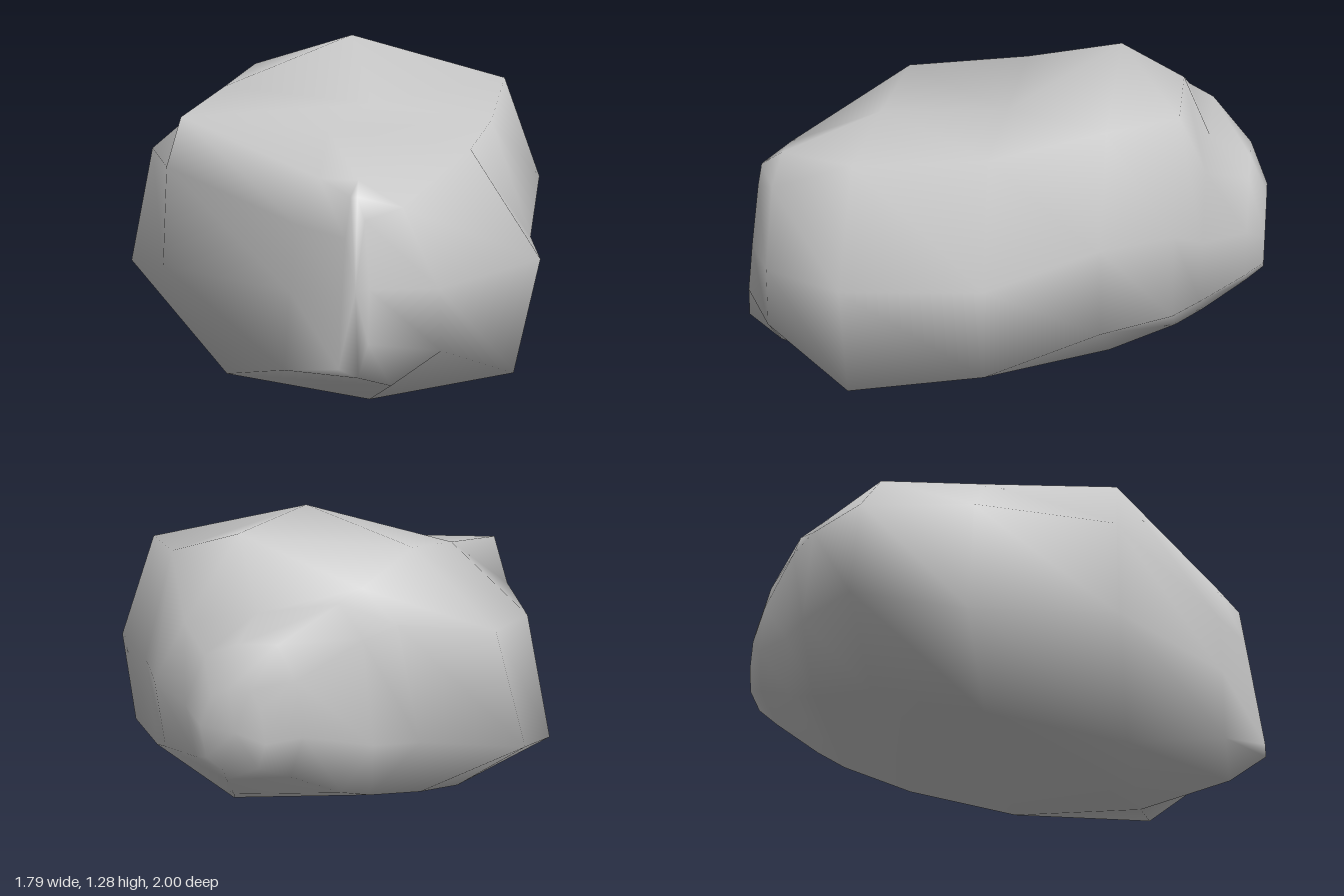
import * as THREE from 'three';

// Cross-sections from front to back: z, then nine [x, y] points, counterclockwise:
// bottom left, bottom right, low right, mid right, top right, crown, top left, shoulder, mid left
const SECTIONS = [
  [0.85, [[0.03, 0.19], [0.42, 0.16], [0.6, 0.3], [0.59, 0.52], [0.46, 0.8], [0.3, 0.89], [0.16, 0.89], [0.08, 0.72], [0.05, 0.48]]],
  [0.5, [[-0.3, 0.06], [0.26, 0], [0.8, 0.14], [0.89, 0.57], [0.63, 0.96], [0.1, 1.01], [-0.47, 1.04], [-0.53, 0.85], [-0.55, 0.47]]],
  [0, [[-0.5, 0.13], [0.28, 0.01], [0.74, 0.2], [0.78, 0.55], [0.62, 1.0], [0.15, 1.05], [-0.46, 1.1], [-0.77, 0.84], [-0.87, 0.37]]],
  [-0.42, [[-0.5, 0.23], [0.25, 0.12], [0.7, 0.38], [0.75, 0.72], [0.6, 1.12], [-0.04, 1.28], [-0.46, 1.15], [-0.78, 0.87], [-0.9, 0.45]]],
  [-0.67, [[-0.4, 0.28], [0.15, 0.2], [0.47, 0.37], [0.51, 0.7], [0.39, 1.12], [0.12, 1.2], [-0.36, 1.04], [-0.5, 0.92], [-0.59, 0.5]]],
  [-0.77, [[-0.33, 0.31], [0.1, 0.25], [0.38, 0.4], [0.42, 0.65], [0.29, 0.88], [0, 0.94], [-0.32, 1.0], [-0.41, 0.88], [-0.45, 0.5]]],
  [-0.93, [[-0.2, 0.4], [0.05, 0.36], [0.17, 0.43], [0.21, 0.62], [0.13, 0.81], [0, 0.86], [-0.15, 0.87], [-0.22, 0.75], [-0.25, 0.55]]],
];

function boulderGeometry() {
  const rings = SECTIONS.map(([z, pts]) => pts.map(([x, y]) => [x, y, z]));
  // Narrow, leaning nose at the front and a blunt end at the back
  const nose = rings[0].map(([x, y]) => {
    const ny = 0.58 + (y - 0.58) * 0.85;
    return [0.32 + (x - 0.32) * 0.18, ny, 1 - Math.max(0, ny - 0.25) * 0.12];
  });
  const tail = rings[rings.length - 1].map(([x, y]) => [x * 0.55, 0.56 + (y - 0.6) * 0.6, -1]);
  rings.unshift(nose);
  rings.push(tail);

  const n = nose.length;
  const last = rings.length - 1;
  const positions = rings.flat(2);
  const index = [];
  for (let i = 0; i < last; i++) {
    for (let j = 0; j < n; j++) {
      const a = i * n + j, b = i * n + (j + 1) % n;
      index.push(a, a + n, b, b, a + n, b + n);
    }
  }
  // End caps
  const front = rings.length * n, back = front + 1;
  positions.push(0.32, 0.52, 0.968, -0.02, 0.56, -1);
  for (let j = 0; j < n; j++) {
    const k = (j + 1) % n;
    index.push(front, j, k, back, last * n + k, last * n + j);
  }
  const geometry = new THREE.BufferGeometry();
  geometry.setAttribute('position', new THREE.Float32BufferAttribute(positions, 3));
  geometry.setIndex(index);
  geometry.computeVertexNormals();
  return geometry;
}

export function createModel() {
  const stone = new THREE.MeshStandardMaterial({ color: 0xc8c8c8 });
  stone.name = 'stoneGrey';
  const boulder = new THREE.Mesh(boulderGeometry(), stone);
  boulder.name = 'boulder';
  const group = new THREE.Group();
  group.name = 'rock';
  group.add(boulder);
  return group;
}
